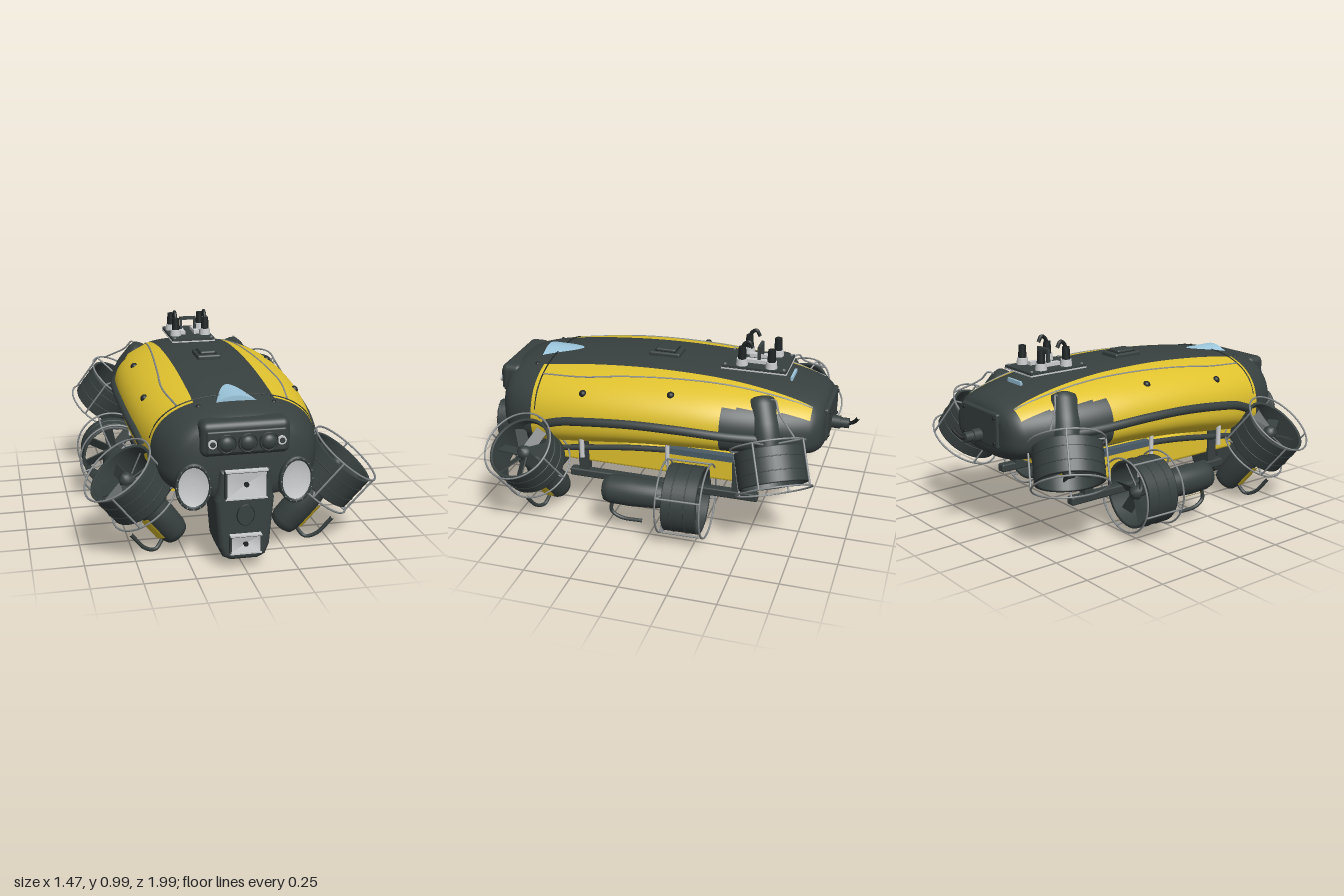
import * as THREE from 'three';
import { RoundedBoxGeometry } from 'three/addons/geometries/RoundedBoxGeometry.js';

const mat = (name, color, side = THREE.FrontSide) => {
  const m = new THREE.MeshStandardMaterial({ color, side });
  m.name = name;
  return m;
};
const V = (x, y, z) => new THREE.Vector3(x, y, z);
const shapeOf = pts => new THREE.Shape(pts.map(p => new THREE.Vector2(...p)));

// Hull stations: z, half width, top y, bottom y
const STATIONS = [
  [0.91, 0.2, 0.7, 0.42], [0.9, 0.27, 0.735, 0.385], [0.86, 0.335, 0.77, 0.36], [0.78, 0.385, 0.795, 0.345],
  [0.66, 0.418, 0.815, 0.36], [0.4, 0.455, 0.842, 0.4], [0.1, 0.468, 0.858, 0.44], [-0.2, 0.46, 0.855, 0.46],
  [-0.4, 0.435, 0.84, 0.46], [-0.6, 0.38, 0.81, 0.455], [-0.78, 0.3, 0.768, 0.46], [-0.83, 0.25, 0.735, 0.485],
  [-0.845, 0.2, 0.7, 0.52]];
const POW = 2.5;

// Smooth interpolation of the stations
function section(z) {
  const S = STATIONS, last = S.length - 1;
  let i = 0;
  while (i < last - 1 && z < S[i + 1][0]) i++;
  const a = S[i], b = S[i + 1], h = b[0] - a[0], t = THREE.MathUtils.clamp((z - a[0]) / h, 0, 1);
  const slope = (k, c) => {
    const p = S[Math.max(k - 1, 0)], q = S[Math.min(k + 1, last)];
    return (q[c] - p[c]) / (q[0] - p[0]) * h;
  };
  const [w, top, bot] = [1, 2, 3].map(c => {
    const t2 = t * t, t3 = t2 * t;
    return (2 * t3 - 3 * t2 + 1) * a[c] + (t3 - 2 * t2 + t) * slope(i, c) + (3 * t2 - 2 * t3) * b[c] + (t3 - t2) * slope(i + 1, c);
  });
  return { w, top, bot, mid: bot + 0.4 * (top - bot) };
}
const bulge = r => Math.pow(Math.max(0, 1 - Math.pow(Math.min(1, Math.abs(r)), POW)), 1 / POW);
const hullY = (x, z) => { const s = section(z); return s.mid + (s.top - s.mid) * bulge(x / s.w); };
const hullX = (y, z) => {
  const s = section(z);
  return s.w * bulge((y - s.mid) / (y > s.mid ? s.top - s.mid : s.mid - s.bot));
};

// Lofted hull, painted by region: group 0 yellow, group 1 dark
function hullGeometry() {
  const zs = [0.91], pos = [], paint = [[], []];
  for (const [from, to, n] of [[0.91, 0.685, 16], [0.685, -0.35, 26], [-0.35, -0.78, 36], [-0.78, -0.845, 8]])
    for (let k = 1; k <= n; k++) zs.push(from + (to - from) * k / n);
  const rows = [[0.91, 0], ...zs.map(z => [z, 1]), [-0.845, 0]];
  const A = 8, B = 56, half = A + B, N = half * 2;
  for (const [z, open] of rows) {
    const s = section(z), split = Math.asin(Math.pow(Math.min(0.95, 0.2 / s.w), POW / 2));
    for (let j = 0; j < N; j++) {
      const k = j <= half ? j : N - j, side = j <= half ? 1 : -1;
      const a = k <= A ? split * k / A : split + (Math.PI - split) * (k - A) / B;
      const c = Math.cos(a), e = 2 / POW;
      const x = side * s.w * Math.pow(Math.abs(Math.sin(a)), e);
      const y = (c > 0 ? s.top - s.mid : s.bot - s.mid) * Math.pow(Math.abs(c), e);
      pos.push(x * open, s.mid + y * open, z);
    }
  }
  for (let i = 0; i < rows.length - 1; i++) for (let j = 0; j < N; j++) {
    const j2 = (j + 1) % N, q = [i * N + j, i * N + j2, (i + 1) * N + j, (i + 1) * N + j2];
    const mean = c => q.reduce((t, v) => t + pos[v * 3 + c], 0) / 4;
    const x = Math.abs(mean(0)), y = mean(1), z = mean(2), s = section(z);
    const dark = z > 0.685 || z < -0.78 || (x < 0.2 && y > s.mid) || y < s.bot + 0.025
      || (z < -0.35 && x > 0.27 + (z + 0.78) * 0.27) || (z < -0.35 && y < s.mid);
    paint[dark ? 1 : 0].push(q[0], q[1], q[2], q[1], q[3], q[2]);
  }
  const g = new THREE.BufferGeometry();
  g.setAttribute('position', new THREE.Float32BufferAttribute(pos, 3));
  g.setIndex([...paint[0], ...paint[1]]);
  g.addGroup(0, paint[0].length, 0);
  g.addGroup(paint[0].length, paint[1].length, 1);
  g.computeVertexNormals();
  return g;
}

export function createModel() {
  const root = new THREE.Group();
  root.name = 'underwaterVehicle';
  const yellow = mat('yellow', 0xe0c22e), dark = mat('dark grey', 0x384040), black = mat('black', 0x1f2424);
  const steel = mat('steel grey', 0x858a8c), silver = mat('silver', 0xcccecf, THREE.DoubleSide);
  const blue = mat('pale blue', 0x9cc6dc), slate = mat('slate blue', 0x4a5c68);

  const add = (name, geo, m, x = 0, y = 0, z = 0, parent = root) => {
    const mesh = new THREE.Mesh(geo, m);
    mesh.name = name;
    mesh.position.set(x, y, z);
    parent.add(mesh);
    return mesh;
  };
  const box = (w, h, d, r = 0) => r ? new RoundedBoxGeometry(w, h, d, 4, r) : new THREE.BoxGeometry(w, h, d);
  const cyl = (r, h, r2 = r) => new THREE.CylinderGeometry(r2, r, h, 28);
  const disc = (r, d) => cyl(r, d).rotateX(Math.PI / 2);
  const tube = (pts, r, n = 40) => new THREE.TubeGeometry(new THREE.CatmullRomCurve3(pts), n, r, 8);
  const rod = (name, a, b, r, m, parent = root) => {
    const d = b.clone().sub(a), mid = a.clone().add(b).multiplyScalar(0.5);
    add(name, cyl(r, d.length()), m, mid.x, mid.y, mid.z, parent).quaternion.setFromUnitVectors(V(0, 1, 0), d.normalize());
  };
  const lathe = pts => new THREE.LatheGeometry(pts.map(p => new THREE.Vector2(...p)), 40);

  // Main hull and lower tray with an upswept tail
  add('hull', hullGeometry(), [yellow, dark]);
  const tray = shapeOf([[0.57, 0.325], [-0.4, 0.325], [-0.6, 0.41], [-0.6, 0.45], [0.57, 0.45]]);
  add('lowerTray', new THREE.ExtrudeGeometry(tray, { depth: 0.62, bevelSize: 0.015, bevelThickness: 0.02, bevelSegments: 3 })
    .translate(0, 0, -0.31).rotateY(-Math.PI / 2), yellow);
  add('core', box(0.54, 0.1, 1.1), dark, 0, 0.465, 0);
  add('sensorBox', box(0.29, 0.05, 0.29, 0.02), dark, 0, 0.295, 0);
  for (const x of [-0.065, 0.065]) for (const z of [-0.065, 0.065]) {
    add('sensorRing', cyl(0.046, 0.012), steel, x, 0.268, z);
    add('sensorFace', cyl(0.039, 0.012), black, x, 0.265, z);
  }

  // Thruster: +y of the group points out of the mouth
  function thruster(name, mouth, inner, s, bandAngle, hasBand) {
    const g = new THREE.Group(), dir = mouth.clone().sub(inner), L = dir.length();
    g.name = name;
    g.position.copy(mouth);
    g.quaternion.setFromUnitVectors(V(0, 1, 0), dir.normalize());
    root.add(g);
    const r = 0.176;
    add('duct', lathe([[r - 0.012, -0.18], [r, -0.18], [r, -0.175], [r, -0.005], [r, 0], [r - 0.014, 0], [r - 0.014, -0.005], [r - 0.014, -0.175], [r - 0.012, -0.18]]), dark, 0, 0, 0, g);
    for (const y of [-0.13, -0.06]) add('ductBand', new THREE.TorusGeometry(r, 0.003, 6, 48).rotateX(Math.PI / 2), dark, 0, y, 0, g);
    add('pod', lathe([[0, -L], [0.045, -L], [0.066, -L + 0.012], [0.076, -L + 0.045], [0.08, -L + 0.15], [0.072, -0.24], [0.05, -0.16], [0.04, -0.1], [0, -0.1]]), dark, 0, 0, 0, g);
    add('hub', lathe([[0.038, -0.1], [0.038, -0.05], [0.028, -0.025], [0, -0.015]]), dark, 0, 0, 0, g);
    for (let k = 0; k < 7; k++) {
      const arm = new THREE.Group();
      arm.name = 'blade';
      arm.rotation.y = k * Math.PI * 2 / 7;
      g.add(arm);
      add('bladePlate', box(0.13, 0.007, 0.06), dark, 0.095, -0.065, 0, arm).rotation.x = 0.6 * s;
    }
    // Wire cage
    const R = 0.192;
    for (const y of [0.025, -0.205]) add('cageRing', new THREE.TorusGeometry(R, 0.005, 6, 56).rotateX(Math.PI / 2), steel, 0, y, 0, g);
    for (let k = 0; k < 4; k++) {
      const a = k * Math.PI / 2 + 0.4, c = Math.cos(a), n = Math.sin(a);
      rod('cageWire', V(c * R, 0.025, n * R), V(c * R, -0.205, n * R), 0.005, steel, g);
      rod('cageSpoke', V(c * R, -0.205, n * R), V(c * 0.06, -0.205, n * 0.06), 0.005, steel, g);
    }
    // Yellow band and guard hook on the pod
    const bx = Math.sin(bandAngle), bz = Math.cos(bandAngle);
    if (hasBand) {
      add('podBand', new THREE.CylinderGeometry(0.087, 0.087, 0.15, 16, 1, true, bandAngle - 0.65, 1.3), yellow, 0, -L + 0.15, 0, g);
      add('podHook', tube([[0.06, -L + 0.05], [0.13, -L + 0.04], [0.165, -L + 0.09], [0.17, -L + 0.21]].map(([q, y]) => V(bx * q, y, bz * q)), 0.01), dark, 0, 0, 0, g);
    } else {
      add('podWire', tube([[0.07, -L + 0.03], [0.1, -L + 0.04], [0.11, -L + 0.1], [0.192, -0.205]].map(([q, y]) => V(bx * q, y, bz * q)), 0.005), steel, 0, 0, 0, g);
    }
  }

  for (const s of [1, -1]) {
    thruster('frontThruster', V(0.56 * s, 0.465, 0.69), V(0.27 * s, 0.085, 0.595), s, s * 1.15, true);
    thruster('middleThruster', V(0.48 * s, 0.265, -0.285), V(0.495 * s, 0.265, 0.25), s, Math.PI, true);
    thruster('rearThruster', V(0.485 * s, 0.415, -0.65), V(0.25 * s, 0.78, -0.52), s, -s * Math.PI / 2, false);
    rod('frontArm', V(0.28 * s, 0.42, 0.62), V(0.4 * s, 0.27, 0.64), 0.035, dark);

    // Skid rail with posts and brackets
    add('rail', box(0.05, 0.045, 1.04, 0.01), dark, 0.325 * s, 0.243, -0.02);
    for (const z of [0.42, -0.43]) add('railPost', box(0.045, 0.2, 0.055), dark, 0.32 * s, 0.34, z);
    for (const z of [0.17, 0.02]) rod('podBracket', V(0.32 * s, 0.243, z), V(0.45 * s, 0.26, z), 0.02, dark);
    rod('liftPost', V(0.41 * s, 0.38, 0.4), V(0.41 * s, 0.51, 0.4), 0.013, silver);
    rod('liftPost', V(0.4 * s, 0.4, -0.07), V(0.4 * s, 0.53, -0.07), 0.011, silver);

    // Side bumper, lower lip and seam following the hull
    const bumper = [[0.6, 0.555], [0.5, 0.59], [0.35, 0.615], [0.1, 0.638], [-0.15, 0.64], [-0.4, 0.625], [-0.6, 0.61]];
    add('sideBumper', tube(bumper.map(([z, y]) => V(s * hullX(y, z), y, z)), 0.024, 60), dark);
    const lip = [0.62, 0.4, 0.15, -0.06].map(z => V(s * 0.36, section(z).bot + 0.012, z));
    add('lowerLip', tube(lip, 0.016), dark);
    add('lowerStrip', box(0.04, 0.032, 0.5), slate, 0.36 * s, 0.47, -0.31);
    const seam = [[0.275, 0.66], [0.305, 0.42], [0.29, 0.2], [0.265, -0.1], [0.245, -0.35], [0.225, -0.6], [0.205, -0.78]];
    add('hullSeam', tube(seam.map(([x, z]) => V(s * x, hullY(x, z), z)), 0.005, 60), steel);
    for (const [x, z, r] of [[0.37, -0.08, 0.02], [0.39, 0.39, 0.02], [0.185, 0.73, 0.013]])
      add('hullPlug', new THREE.SphereGeometry(r, 16, 10), black, x * s, hullY(x, z) - 0.006, z);

    // Oval headlamps with a shallow dished reflector, turned slightly outward
    const lamp = new THREE.Group();
    lamp.name = 'headlamp';
    lamp.position.set(0.245 * s, 0.455, 0.89);
    lamp.rotation.y = 0.1 * s;
    lamp.scale.set(0.74, 1, 1);
    root.add(lamp);
    add('lampHousing', disc(0.112, 0.12), dark, 0, 0, -0.035, lamp);
    add('lampRim', new THREE.TorusGeometry(0.106, 0.011, 8, 48), dark, 0, 0, 0.035, lamp);
    add('lampReflector', lathe([[0, 0], [0.035, 0.001], [0.07, 0.005], [0.1, 0.013]]).rotateX(Math.PI / 2), silver, 0, 0, 0.027, lamp);
    for (let k = 0; k < 16; k++) {
      const a = k * Math.PI / 8;
      add('rimStud', new THREE.SphereGeometry(0.004, 8, 6), steel, Math.cos(a) * 0.108, Math.sin(a) * 0.108, 0.045, lamp);
    }
  }
  add('headSeam', tube(Array.from({ length: 25 }, (_, i) => {
    const x = (i / 12 - 1) * 0.41;
    return V(x, hullY(x, 0.66), 0.66);
  }), 0.004, 80), black);

  // Chin
  const chin = shapeOf([[-0.06, 0.09], [0.06, 0.09], [0.085, 0.102], [0.1, 0.14], [0.12, 0.37], [0.112, 0.4], [0.1, 0.5], [-0.1, 0.5], [-0.112, 0.4], [-0.12, 0.37], [-0.1, 0.14], [-0.085, 0.102]]);
  add('chin', new THREE.ExtrudeGeometry(chin, { depth: 0.19, bevelSize: 0.025, bevelThickness: 0.03, bevelSegments: 5 }), dark, 0, 0, 0.71);
  add('chinPlug', disc(0.04, 0.015).scale(1, 1.25, 1), dark, 0, 0.3, 0.932);
  add('chinPlugRim', new THREE.TorusGeometry(0.04, 0.004, 6, 32).scale(1, 1.25, 1), black, 0, 0.3, 0.936);

  // Framed forward lamps with a four-sided dished reflector
  for (const [w, h, y] of [[0.2, 0.135, 0.457], [0.15, 0.09, 0.156]]) {
    add('lampFrame', box(w, h, 0.05), dark, 0, y, 0.911);
    const dish = new THREE.ConeGeometry(Math.SQRT1_2, 0.016, 4, 1, true).rotateY(Math.PI / 4).rotateX(-Math.PI / 2);
    add('lampReflector', dish.scale(w - 0.012, h - 0.014, 1), silver, 0, y, 0.947);
    add('lampBulb', disc(0.012, 0.014), black, 0, y, 0.945);
    for (const e of [1, -1]) {
      add('lampTrim', box(w + 0.004, 0.008, 0.03), silver, 0, y + e * h / 2, 0.942);
      add('lampSide', box(0.007, h, 0.03), dark, e * w / 2, y, 0.941);
    }
  }

  // Camera bar
  add('cameraBar', box(0.43, 0.17, 0.12, 0.035), dark, 0, 0.68, 0.88);
  add('cameraBarPanel', box(0.38, 0.11, 0.02, 0.009), dark, 0, 0.67, 0.938);
  for (const x of [-0.1, 0, 0.1]) {
    add('cameraLens', disc(0.043, 0.03), dark, x, 0.668, 0.95);
    add('lensRim', new THREE.TorusGeometry(0.043, 0.003, 6, 32), black, x, 0.668, 0.963);
    add('lensGlass', new THREE.SphereGeometry(0.036, 20, 12).scale(1, 1, 0.6), dark, x, 0.668, 0.964);
  }
  for (const x of [-0.165, 0.165]) {
    add('smallLampRim', disc(0.021, 0.03), silver, x, 0.668, 0.945);
    add('smallLamp', disc(0.013, 0.03), dark, x, 0.668, 0.949);
  }

  // Blue arched marker running into the nose, with a small one at the stern
  const arch = new THREE.Shape();
  arch.moveTo(-0.115, 0.785);
  arch.lineTo(0.115, 0.785);
  arch.lineTo(0.115, 0.792);
  arch.bezierCurveTo(0.075, 0.816, 0.035, 0.83, 0, 0.83);
  arch.bezierCurveTo(-0.035, 0.83, -0.075, 0.816, -0.115, 0.792);
  add('noseMarker', new THREE.ExtrudeGeometry(arch, { depth: 0.285, bevelEnabled: false, curveSegments: 20 }), blue, 0, 0, 0.45);
  add('sternMarker', box(0.12, 0.02, 0.012), blue, 0, 0.815, -0.64);

  // Top hatch
  add('hatchBase', box(0.125, 0.03, 0.17, 0.01), dark, 0, 0.865, 0.05);
  add('hatchLid', box(0.085, 0.025, 0.11, 0.01), dark, 0, 0.882, 0.05);
  add('hatchGroove', box(0.095, 0.004, 0.12), black, 0, 0.88, 0.05);

  // Connector plate, connectors and handle
  add('connectorPlate', box(0.24, 0.02, 0.34), dark, 0, 0.866, -0.45);
  add('plateEdge', box(0.246, 0.007, 0.346), silver, 0, 0.86, -0.45);
  for (const x of [-0.085, 0.085]) {
    for (const z of [-0.38, -0.535]) {
      add('connectorBase', cyl(0.031, 0.035, 0.028), silver, x, 0.893, z);
      add('connectorBody', cyl(0.022, 0.07, 0.019), black, x, 0.94, z);
    }
    add('connectorCable', tube([V(x, 0.95, -0.38), V(x, 0.99, -0.39), V(x, 1.005, -0.415), V(x, 0.975, -0.435)], 0.01), black);
    for (const z of [-0.605, -0.295]) add('plateScrew', cyl(0.007, 0.008), steel, Math.sign(x) * 0.105, 0.878, z);
    add('handlePost', box(0.014, 0.085, 0.016), dark, x * 0.47, 0.917, -0.46);
    add('handleFoot', box(0.028, 0.02, 0.13), silver, x * 0.47, 0.885, -0.46);
  }
  add('handleGrip', box(0.094, 0.018, 0.016), dark, 0, 0.957, -0.46);

  // Stern panel with cable
  add('sternPanel', box(0.33, 0.18, 0.03, 0.012), dark, 0, 0.625, -0.842);
  for (const x of [-0.14, 0.14]) for (const y of [0.56, 0.69]) add('sternScrew', disc(0.008, 0.01), black, x, y, -0.858);
  add('cableSocket', disc(0.034, 0.05), dark, 0, 0.575, -0.875);
  add('cableGland', disc(0.027, 0.07), dark, 0, 0.575, -0.91);
  add('sternCable', tube([V(0, 0.575, -0.92), V(0, 0.578, -0.955), V(0.01, 0.595, -0.975), V(0.025, 0.625, -0.993)], 0.01), black);
  return root;
}
